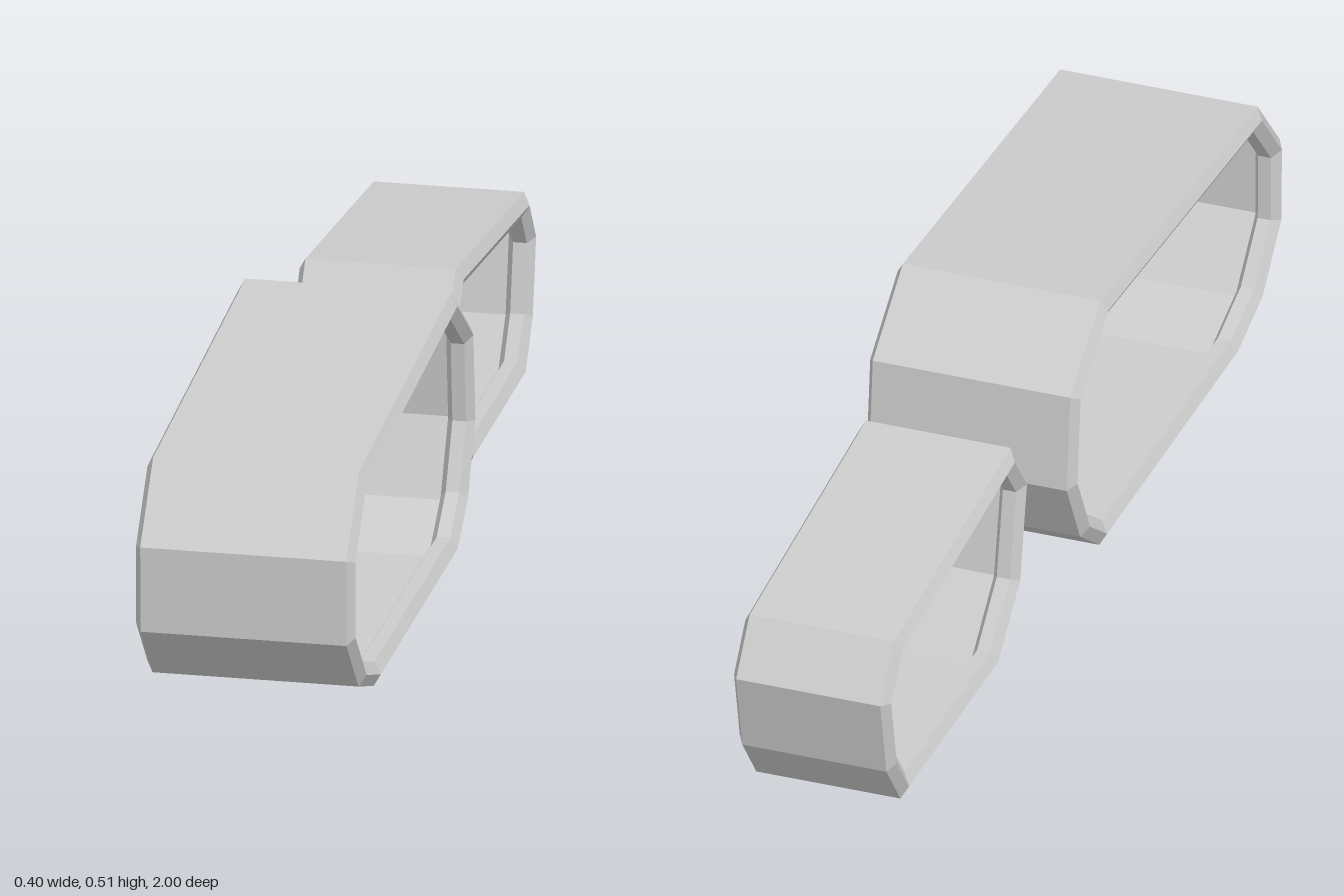
import * as THREE from 'three';

// Move each edge of a closed counter-clockwise outline inward by d, mitring the corners.
function inset(outline, d) {
  const n = outline.length;
  return outline.map((p, i) => {
    const a = outline[(i + n - 1) % n], b = outline[(i + 1) % n];
    const u = p.clone().sub(a).normalize(), v = b.clone().sub(p).normalize();
    const n1 = new THREE.Vector2(-u.y, u.x), n2 = new THREE.Vector2(-v.y, v.x);
    return p.clone().addScaledVector(n1.clone().add(n2), d / (1 + n1.dot(n2)));
  });
}

// Thin band with a six-sided rim bar along both edges, swept round [z, y] points.
function bandGeometry(points, half) {
  const outline = points.map(([z, y]) => new THREE.Vector2(z, y));
  const r = 0.025, depth = r * Math.sqrt(3) / 2;
  // Rim section as [x, inset], from the outer edge round to the inside of the wall
  const rim = [
    [half, 0], [half + r / 2, depth], [half, 2 * depth],
    [half - r, 2 * depth], [half - 1.5 * r, depth], [half - r, 0],
  ];
  const section = [...rim.map(([x, d]) => [-x, d]).reverse(), ...rim];
  const rings = section.map(([x, d]) => inset(outline, d).map((p) => [x, p.y, p.x]));
  const verts = [];
  for (let k = 0; k < rings.length - 1; k++) {
    const ring = rings[k], next = rings[k + 1];
    ring.forEach((a, i) => {
      const j = (i + 1) % ring.length;
      const b = next[i], c = next[j], d = ring[j];
      verts.push(...a, ...b, ...c, ...a, ...c, ...d);
    });
  }
  const geo = new THREE.BufferGeometry();
  geo.setAttribute('position', new THREE.Float32BufferAttribute(verts, 3));
  geo.computeVertexNormals();
  return geo;
}

export function createModel() {
  const group = new THREE.Group();
  group.name = 'bandPair';
  const material = new THREE.MeshStandardMaterial({
    color: 0xcccccc, flatShading: true, side: THREE.DoubleSide,
  });

  const addBand = (name, points, half, x) => {
    const mesh = new THREE.Mesh(bandGeometry(points, half), material);
    mesh.name = name;
    mesh.position.x = x;
    group.add(mesh);
  };

  // Large ten-sided band at the front
  addBand('frontBand', [
    [1.0, 0.325], [0.885, 0.457], [0.065, 0.51], [-0.092, 0.395], [-0.11, 0.21],
    [-0.04, 0.075], [0.06, 0.002], [0.755, 0.002], [0.89, 0.048], [0.997, 0.163],
  ], 0.189, 0);

  // Smaller eight-sided band behind, slightly off centre
  addBand('rearBand', [
    [-0.246, 0.315], [-0.323, 0.414], [-0.93, 0.348], [-1.0, 0.252],
    [-0.968, 0.097], [-0.895, 0], [-0.41, 0], [-0.285, 0.117],
  ], 0.138, -0.021);

  return group;
}
